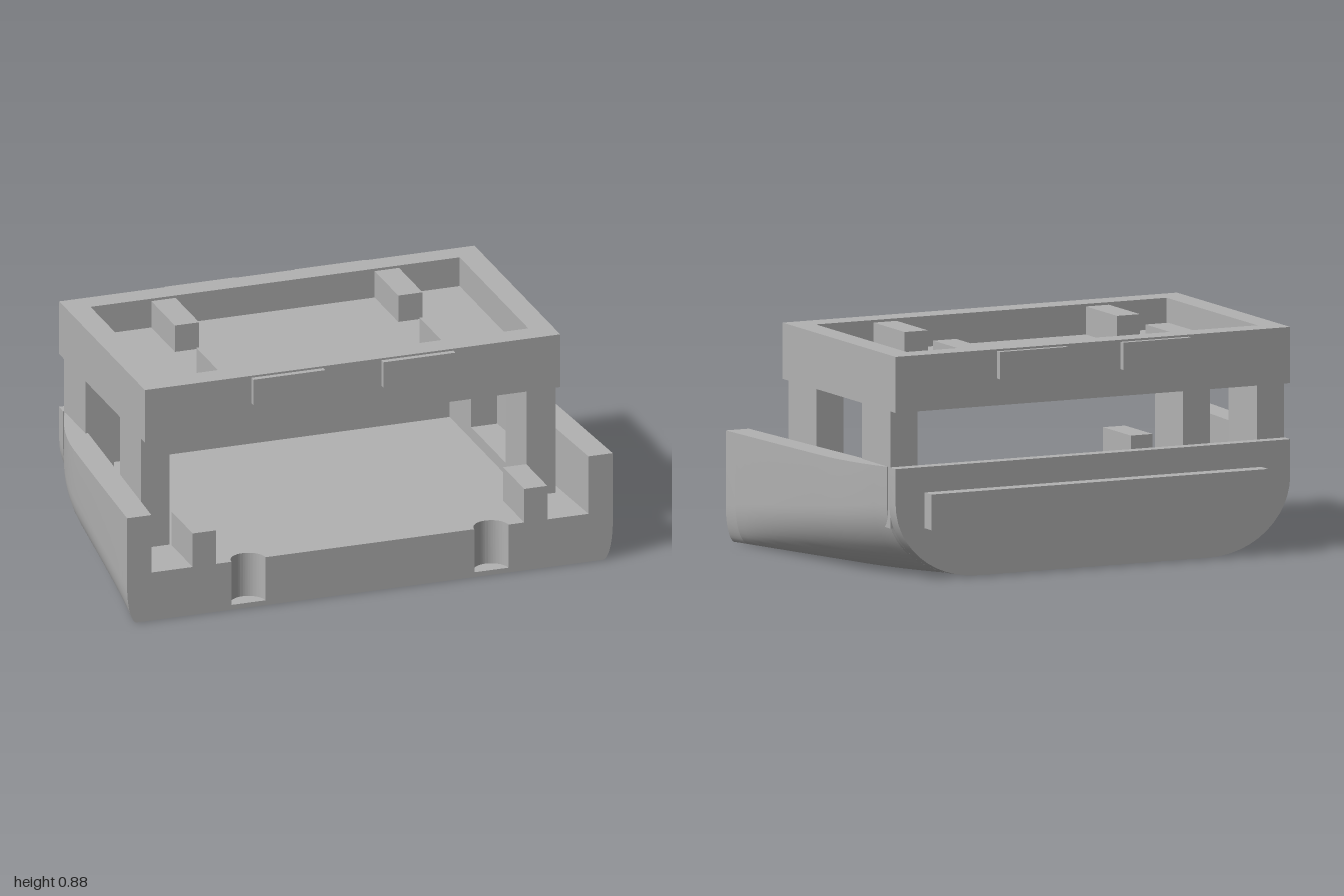
import * as THREE from 'three';
import { toCreasedNormals } from 'three/addons/utils/BufferGeometryUtils.js';

const FLOOR = 0.2, RIM = 0.44;
const grey = new THREE.MeshStandardMaterial({ color: 0xb2b2b2 });
grey.name = 'plain grey';

// Half width of the hull along z, tapering and then curving in at the back
const plan = [[0.62, 1], [0.21, 0.975], [-0.12, 0.953], [-0.2, 0.945], [-0.28, 0.929],
  [-0.36, 0.907], [-0.43, 0.883], [-0.49, 0.858], [-0.56, 0.855]];
function halfWidth(z) {
  for (let i = 1; i < plan.length; i++) {
    const [za, wa] = plan[i - 1], [zb, wb] = plan[i];
    if (z >= zb) return wa + (wb - wa) * (za - z) / (za - zb);
  }
  return 0.855;
}

// Closed cross-section: rounded bottom corners, optional side walls and floor slots
function section(z, top, walls, slots) {
  const w = halfWidth(z), t = (0.62 - z) / 1.18;
  const rx = 0.04 + 0.31 * t, ry = 0.15 + 0.15 * t;
  const start = Math.asin(Math.max(0, 1 - top / ry));
  const half = [];
  for (let i = 0; i <= 12; i++) {
    const a = Math.PI / 2 + (start - Math.PI / 2) * i / 12;
    half.push([w - rx * (1 - Math.cos(a)), ry * (1 - Math.sin(a))]);
  }
  if (top > ry) half.push([w, top]);
  if (walls) {
    const inner = 0.9 - 0.065 * (0.62 - z);
    half.push([inner, top], [inner, FLOOR]);
  }
  if (slots) half.push([0.57, FLOOR], [0.57, 0.02], [0.43, 0.02], [0.43, FLOOR]);
  return [...half, ...half.map(([x, y]) => [-x, y]).reverse()];
}

// Solid through the sections at each z, listed front to back
function loft(zs, top, walls = false, slots = false) {
  const rings = zs.map(z => section(z, top, walls, slots).map(([x, y]) => new THREE.Vector3(x, y, z)));
  const pos = [], n = rings[0].length;
  const tri = (...points) => points.forEach(p => pos.push(p.x, p.y, p.z));
  for (let k = 0; k + 1 < rings.length; k++) {
    for (let i = 0; i < n; i++) {
      const j = (i + 1) % n, f = rings[k], b = rings[k + 1];
      tri(f[i], b[i], f[j]);
      tri(f[j], b[i], b[j]);
    }
  }
  const front = rings[0], back = rings[rings.length - 1];
  const caps = ring => THREE.ShapeUtils.triangulateShape(ring.map(p => new THREE.Vector2(p.x, p.y)), []);
  caps(front).forEach(([a, b, c]) => tri(front[a], front[b], front[c]));
  caps(back).forEach(([a, b, c]) => tri(back[a], back[c], back[b]));
  const g = new THREE.BufferGeometry();
  g.setAttribute('position', new THREE.Float32BufferAttribute(pos, 3));
  return toCreasedNormals(g, 0.5);
}

function rectangle(C, x0, x1, y0, y1) {
  const s = new C();
  s.moveTo(x0, y0).lineTo(x1, y0).lineTo(x1, y1).lineTo(x0, y1).closePath();
  return s;
}

const extrude = (shape, depth) =>
  new THREE.ExtrudeGeometry(shape, { depth, bevelEnabled: false, curveSegments: 24 });

export function createModel() {
  const model = new THREE.Group();
  model.name = 'dockingCradle';
  const add = (name, geometry) => {
    const m = new THREE.Mesh(geometry, grey);
    m.name = name;
    model.add(m);
    return m;
  };
  const box = (name, x0, x1, y0, y1, z0, z1) => add(name,
    new THREE.BoxGeometry(x1 - x0, y1 - y0, z1 - z0)
      .translate((x0 + x1) / 2, (y0 + y1) / 2, (z0 + z1) / 2));

  // Hull with side walls, a narrow gap, and the upright back plate
  add('hullFront', loft([0.62, 0.545], RIM, true, true));
  const zs = [0.545];
  for (let i = 0; i <= 16; i++) zs.push(0.5 - 0.99 * i / 16);
  add('hullBody', loft(zs, RIM, true));
  add('hullGap', loft([-0.49, -0.51], FLOOR));
  add('backPlate', loft([-0.51, -0.56], RIM));
  box('backBar', -0.73, 0.73, 0.2, 0.34, -0.62, -0.555);

  // Round the two front slots into half-cylinder notches
  for (const side of [-1, 1]) {
    const s = new THREE.Shape();
    s.moveTo(-0.07, -0.62).lineTo(-0.07, -0.545).lineTo(0.07, -0.545).lineTo(0.07, -0.62);
    s.absarc(0, -0.62, 0.07, 0, Math.PI, false);
    add('notchLining', toCreasedNormals(
      extrude(s, FLOOR - 0.02).rotateX(-Math.PI / 2).translate(side * 0.5, 0.02, 0), 0.5));
  }

  // Tray frame and floor
  const frame = rectangle(THREE.Shape, -0.855, 0.855, -0.42, 0.56);
  frame.holes.push(rectangle(THREE.Path, -0.76, 0.76, -0.32, 0.465));
  add('trayFrame', extrude(frame, 0.22).rotateX(-Math.PI / 2).translate(0, 0.66, 0));
  box('trayFloor', -0.76, 0.76, 0.66, 0.76, -0.465, 0.32);

  for (const side of [-1, 1]) {
    const mirrored = (name, a, b, ...rest) =>
      box(name, Math.min(side * a, side * b), Math.max(side * a, side * b), ...rest);
    // Tray supports with a window
    mirrored('frontPost', 0.735, 0.853, FLOOR, 0.66, 0.13, 0.37);
    mirrored('backPost', 0.735, 0.853, FLOOR, 0.66, -0.51, -0.265);
    mirrored('supportSill', 0.735, 0.853, FLOOR, 0.25, -0.265, 0.13);
    // Guide blocks at the front opening
    mirrored('guideBlock', 0.635, 0.73, FLOOR, 0.34, 0.38, 0.62);
    // Blocks inside the tray
    mirrored('backTrayBlock', 0.41, 0.51, 0.76, 0.87, -0.465, -0.195);
    mirrored('frontTrayBlock', 0.41, 0.51, 0.76, 0.87, 0.05, 0.32);
    // Raised tabs on the front and back of the tray
    mirrored('frontTab', 0.12, 0.415, 0.765, 0.872, 0.415, 0.443);
    mirrored('backTab', 0.12, 0.415, 0.765, 0.872, -0.583, -0.555);
  }
  return model;
}
